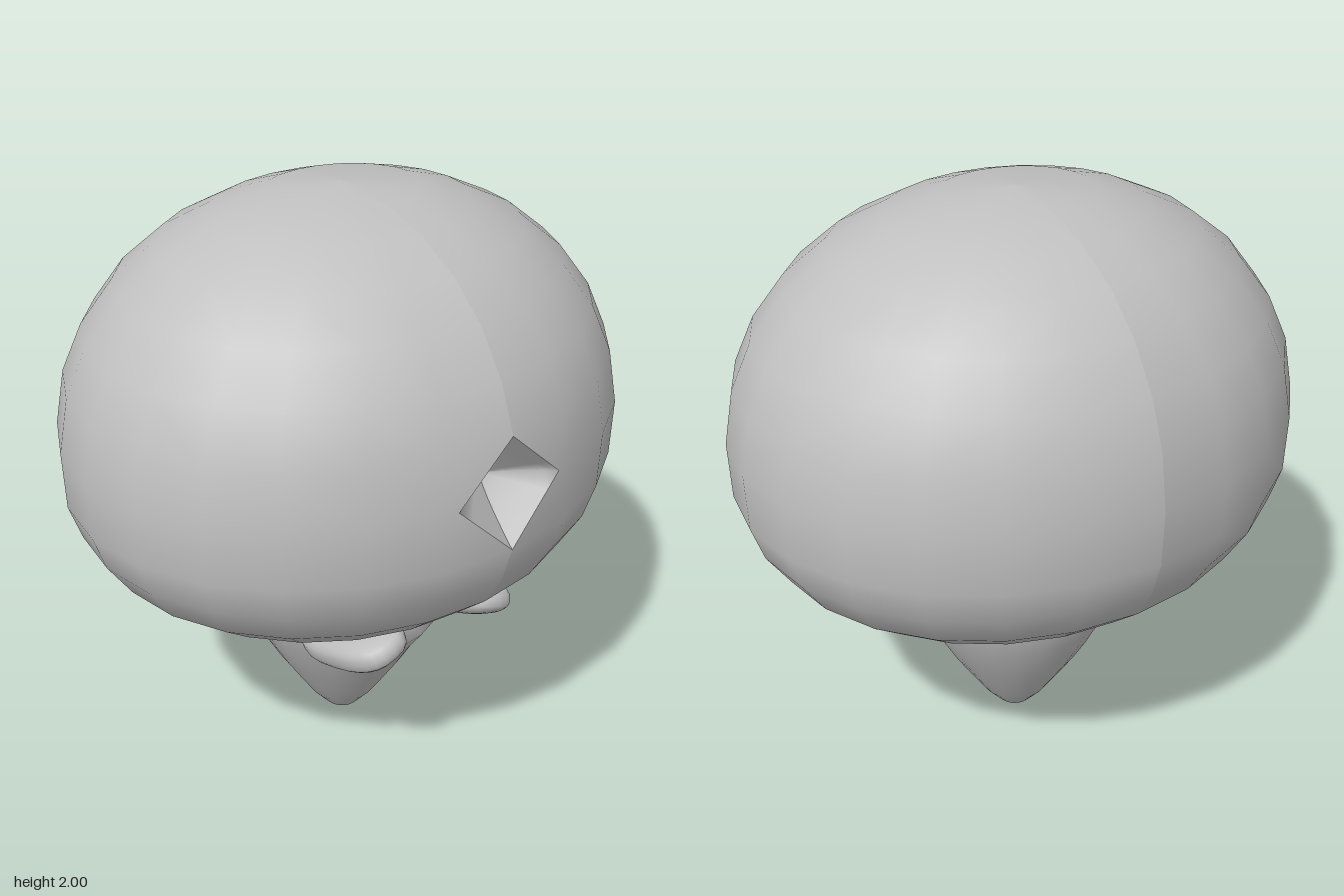
import * as THREE from 'three';

const DEPTH = 0.86; // front-to-back squash of the head

// Surface from a grid of points; flip reverses the facing for the mirrored half
function grid(rows, cols, point, flip, skip = () => false) {
  const pos = [], index = [];
  for (let i = 0; i <= rows; i++)
    for (let j = 0; j <= cols; j++) pos.push(...point(i, j));
  for (let i = 0; i < rows; i++)
    for (let j = 0; j < cols; j++) {
      if (skip(i, j)) continue;
      const a = i * (cols + 1) + j, b = a + 1, c = a + cols + 1, d = c + 1;
      const tris = [[a, c, b], [b, c, d]];
      for (const t of tris) index.push(...(flip ? t.reverse() : t));
    }
  const g = new THREE.BufferGeometry();
  g.setAttribute('position', new THREE.Float32BufferAttribute(pos, 3));
  g.setIndex(index);
  return g;
}

export function createModel() {
  const model = new THREE.Group();
  const grey = new THREE.MeshStandardMaterial({ color: 0xc0c0c0 });
  grey.name = 'plainGrey';
  const add = (geometry, name) => {
    const mesh = new THREE.Mesh(geometry, grey);
    mesh.name = name;
    model.add(mesh);
    return mesh;
  };

  // Head: two mirrored halves meeting in a centre seam
  const profile = [[0, 2], [0.26, 1.98], [0.43, 1.93], [0.6, 1.85], [0.74, 1.74], [0.85, 1.6],
    [0.92, 1.45], [0.955, 1.27], [0.95, 1.08], [0.91, 0.96], [0.83, 0.84], [0.7, 0.74],
    [0.54, 0.65], [0.4, 0.61], [0.28, 0.6], [0.2, 0.64]];
  const cols = 12, pitRow = 7;
  for (const s of [1, -1]) {
    const side = s > 0 ? 'left' : 'right';
    const headPoint = (i, j) => {
      const [r, y] = profile[i];
      const a = (j / cols) * Math.PI;
      const x = i === pitRow && j === 1 ? 0.2 : r * Math.sin(a);
      return [s * x, y, r * DEPTH * Math.cos(a)];
    };
    const nearPit = (i, j) => j === 0 && (i === pitRow - 1 || i === pitRow);
    const head = grid(profile.length - 1, cols, headPoint, s < 0, nearPit);

    // Triangles that turn the opening into a diamond
    const at = (i, j) => i * (cols + 1) + j;
    const top = at(pitRow - 1, 0), bottom = at(pitRow + 1, 0), corner = at(pitRow, 1);
    const extra = [[top, corner, at(pitRow - 1, 1)], [corner, bottom, at(pitRow + 1, 1)]];
    const index = Array.from(head.index.array);
    for (const t of extra) index.push(...(s < 0 ? t.reverse() : t));
    head.setIndex(index);
    head.computeVertexNormals();
    add(head, side + 'HeadHalf');

    // Diamond pit in the forehead
    const rim = [headPoint(pitRow - 1, 0), headPoint(pitRow, 1), headPoint(pitRow + 1, 0)]
      .map((p) => new THREE.Vector3(...p));
    const centre = new THREE.Vector3(0, 1.27, 0.66);
    const pit = grid(6, 8, (k, m) => {
      const edge = m <= 4 ? rim[0].clone().lerp(rim[1], m / 4) : rim[1].clone().lerp(rim[2], m / 4 - 1);
      const t = 1 - k / 6;
      const p = centre.clone().lerp(edge, t);
      p.z = centre.z + (edge.z - centre.z) * Math.pow(t, 1.25);
      return p.toArray();
    }, s < 0);
    pit.computeVertexNormals();
    add(pit, side + 'PitHalf');
  }

  // Tapered body, with a slight ledge below the eyes
  const bodyProfile = [[0, 0.005], [0.03, 0.012], [0.06, 0.035], [0.12, 0.105], [0.175, 0.19],
    [0.235, 0.285], [0.285, 0.375], [0.325, 0.46], [0.35, 0.53], [0.37, 0.61], [0.37, 0.66]];
  const body = new THREE.LatheGeometry(bodyProfile.map(([x, y]) => new THREE.Vector2(x, y)), 24);
  const bp = body.attributes.position;
  for (let i = 0; i < bp.count; i++) {
    const y = bp.getY(i), z = bp.getZ(i);
    if (y > 0.5 && z > 0.29) bp.setZ(i, 0.29);
    else if (y > 0.44 && y < 0.48 && z > 0.25) bp.setZ(i, z + 0.02);
  }
  body.computeVertexNormals();
  add(body, 'body');

  // Flattened eye pads reaching forward and up
  for (const s of [1, -1]) {
    const pad = new THREE.SphereGeometry(1, 24, 16);
    const p = pad.attributes.position;
    const swell = (v) => Math.sign(v) * Math.pow(Math.abs(v), 0.75);
    for (let i = 0; i < p.count; i++)
      p.setXYZ(i, swell(p.getX(i)) * 0.115, swell(p.getY(i)) * 0.062, swell(p.getZ(i)) * 0.225);
    pad.computeVertexNormals();
    const eye = add(pad, s > 0 ? 'leftEyePad' : 'rightEyePad');
    eye.position.set(s * 0.225, 0.585, 0.345);
    eye.rotation.set(-0.34, 0, -s * 0.3);
  }
  return model;
}
